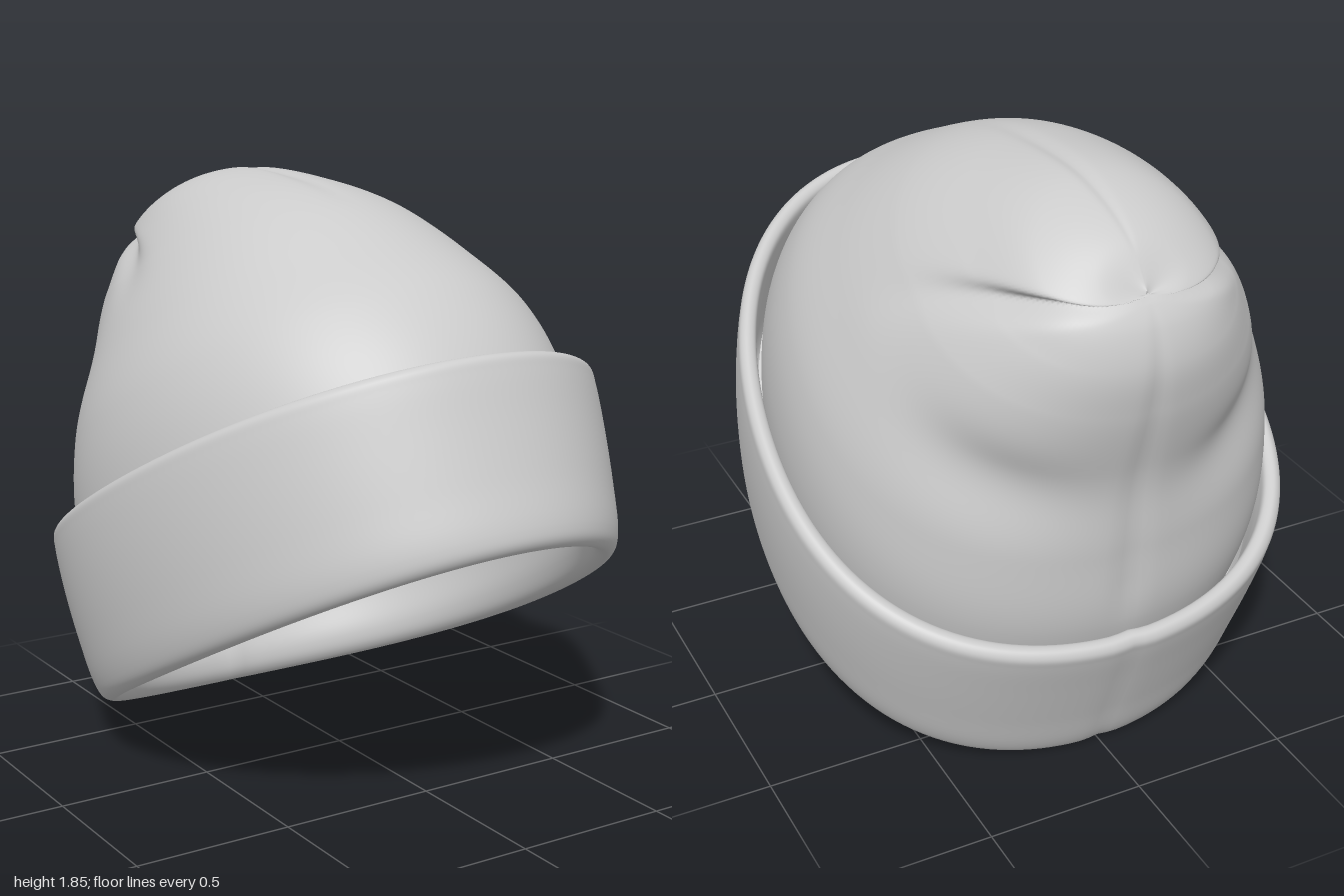
import * as THREE from 'three';

const SEGMENTS = 160;

// Lofts closed rings; each ring is [frontZ, frontY, backZ, backY, halfWidth].
// dent(u, t) pulls a point toward the ring centre (0..1), sag(u) lowers the ring's sides.
function loft(rings, steps, egg, dent, sag) {
  const front = new THREE.CatmullRomCurve3(rings.map(r => new THREE.Vector3(r[4], r[1], r[0])));
  const back = new THREE.CatmullRomCurve3(rings.map(r => new THREE.Vector3(0, r[3], r[2])));
  const positions = [], index = [];
  for (let i = 0; i <= steps; i++) {
    const u = i / steps;
    const f = front.getPoint(u), b = back.getPoint(u);
    const cy = (f.y + b.y) / 2, cz = (f.z + b.z) / 2;
    for (let j = 0; j < SEGMENTS; j++) {
      const t = (j / SEGMENTS) * Math.PI * 2;
      const k = (1 - dent(u, t)) * (1 + 0.03 * Math.sin(2 * t) ** 2);
      const c = Math.cos(t) * k;
      positions.push(
        f.x * Math.sin(t) * (1 - egg * Math.cos(t)) * k,
        cy + ((f.y - b.y) / 2) * c - sag(u) * Math.sin(t) ** 2,
        cz + ((f.z - b.z) / 2) * c
      );
      if (i < steps) {
        const a = i * SEGMENTS + j, n = i * SEGMENTS + (j + 1) % SEGMENTS;
        index.push(a, n, a + SEGMENTS, n, n + SEGMENTS, a + SEGMENTS);
      }
    }
  }
  const geometry = new THREE.BufferGeometry();
  geometry.setAttribute('position', new THREE.Float32BufferAttribute(positions, 3));
  geometry.setIndex(index);
  geometry.computeVertexNormals();
  return geometry;
}

// Smooth groove profile around one seam angle
function groove(t, angle, width) {
  const d = Math.atan2(Math.sin(t - angle), Math.cos(t - angle));
  return Math.exp(-((d / width) ** 2));
}

// Ring of the tilted cuff: s runs from lower to upper edge, inset goes inward
function cuffRing(s, inset) {
  const mix = THREE.MathUtils.lerp;
  const dz = 0.884 * inset, dy = 0.467 * inset;
  return [
    mix(1.01, 0.8, s) - dz, mix(0.91, 1.43, s) - dy,
    mix(-0.745, -0.955, s) + dz, mix(-0.012, 0.5, s) + dy,
    mix(0.765, 0.828, s) + 0.02 * Math.sin(Math.PI * s) - inset
  ];
}

export function createModel() {
  const group = new THREE.Group();
  const material = new THREE.MeshStandardMaterial({ color: 0xcccccc, side: THREE.DoubleSide });
  const smoothstep = THREE.MathUtils.smoothstep;
  const add = (name, geometry) => {
    const mesh = new THREE.Mesh(geometry, material);
    mesh.name = name;
    group.add(mesh);
  };

  // Folded cuff: inner hem, rounded lower lip, outer wall, rolled upper edge
  const cuffProfile = [
    [0.62, 0.075], [0.62, 0.09], [0.3, 0.098], [0.12, 0.098], [0.03, 0.078], [-0.01, 0.042],
    [0.02, 0.012], [0.1, 0], [0.35, 0], [0.65, 0], [0.9, 0], [0.97, 0.004],
    [1, 0.025], [0.98, 0.052], [0.9, 0.06], [0.65, 0.062]
  ];
  add('cuff', loft(cuffProfile.map(p => cuffRing(...p)), 90, 0.1,
    (u, t) => 0.007 * groove(t, Math.PI, 0.04),
    u => 0.012 + 0.026 * Math.exp(-(((u - 0.35) / 0.16) ** 2))));

  // Slouching crown, converging on the seam junction at the back
  const crownRings = [
    cuffRing(0.1, 0.08),
    [0.725, 1.355, -0.885, 0.53, 0.75],
    [0.53, 1.56, -0.915, 0.8, 0.715],
    [0.28, 1.69, -0.945, 1.07, 0.61],
    [0.04, 1.785, -1.0, 1.3, 0.49],
    [-0.22, 1.835, -1.015, 1.44, 0.385],
    [-0.57, 1.845, -0.99, 1.55, 0.27],
    [-0.81, 1.765, -0.955, 1.61, 0.14],
    [-0.925, 1.64, -0.93, 1.635, 0.004]
  ];
  add('crown', loft(crownRings, 120, 0.09, (u, t) => {
    const frontSeam = 0.09 * smoothstep(u, 0.46, 0.85) * groove(t, 0, 0.09);
    // side darts swing backward as they near the junction
    const angle = 1.55 + 5.2 * Math.max(0, u - 0.42) ** 2;
    const darts = 0.15 * smoothstep(u, 0.4, 0.75)
      * (groove(t, angle, 0.14) + groove(t, -angle, 0.14));
    const backSeam = 0.018 * smoothstep(u, 0.1, 0.2) * groove(t, Math.PI, 0.06);
    // slack fold below the back lobe, rising toward the darts
    const foldAt = 0.34 + 0.08 * (1 + Math.cos(t));
    const fold = 0.055 * Math.exp(-(((u - foldAt) / 0.06) ** 2))
      * (groove(t, 2.5, 0.42) + groove(t, -2.5, 0.42));
    // the left front lobe sits a little lower than the right one
    const lean = 0.05 * smoothstep(u, 0.5, 0.8) * Math.sin(t) * (1 + Math.cos(t));
    return frontSeam + darts + backSeam + fold + lean;
  }, () => 0.01));

  return group;
}
